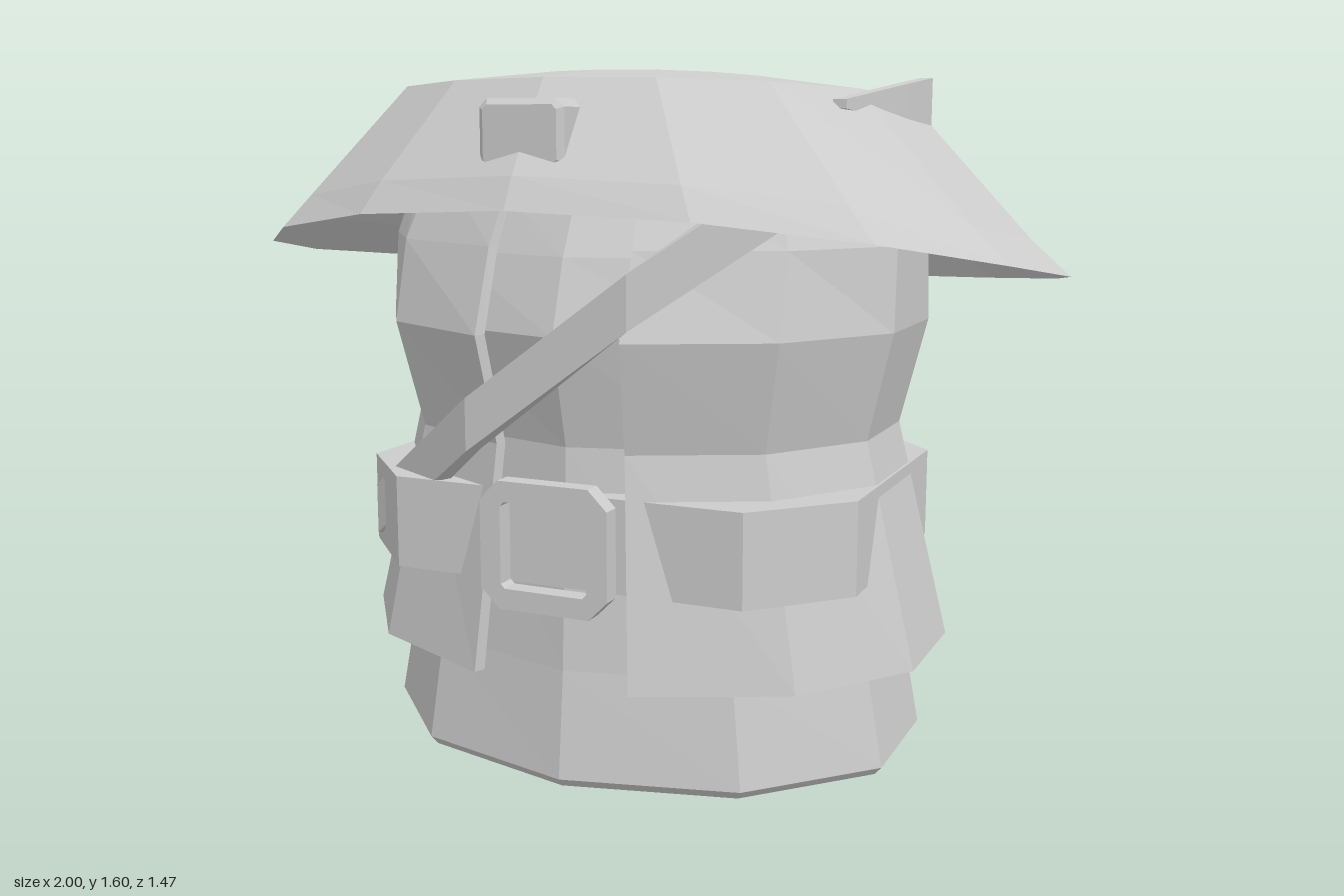
import * as THREE from 'three';

const grey = new THREE.MeshStandardMaterial({ color: 0xcccccc, side: THREE.DoubleSide });
grey.name = 'plain grey';

// Flat-faced surface through a list of cross-sections (arrays of Vector3)
function loft(sections, { closed = true, loopPath = false, capStart = false, capEnd = false } = {}) {
  const pos = [];
  const tri = (...pts) => pts.forEach(p => pos.push(p.x, p.y, p.z));
  const n = sections[0].length;
  const rows = loopPath ? sections.length : sections.length - 1;
  for (let k = 0; k < rows; k++) {
    const s = sections[k], t = sections[(k + 1) % sections.length];
    for (let i = 0; i < (closed ? n : n - 1); i++) {
      const j = (i + 1) % n;
      tri(s[i], t[i], t[j]);
      tri(s[i], t[j], s[j]);
    }
  }
  const cap = (s, flip) => {
    for (let i = 1; i < n - 1; i++) flip ? tri(s[0], s[i + 1], s[i]) : tri(s[0], s[i], s[i + 1]);
  };
  if (capStart) cap(sections[0], false);
  if (capEnd) cap(sections[sections.length - 1], true);
  const g = new THREE.BufferGeometry();
  g.setAttribute('position', new THREE.Float32BufferAttribute(pos, 3));
  g.computeVertexNormals();
  return g;
}

const v = (x, y, z) => new THREE.Vector3(x, y, z);

// Points on an ellipse; y may be a number or a rule of z
function ellipse(count, startDeg, rx, rz, y, stepDeg = 360 / count) {
  return Array.from({ length: count }, (_, i) => {
    const a = THREE.MathUtils.degToRad(startDeg + i * stepDeg);
    const z = Math.sin(a) * rz;
    return v(Math.cos(a) * rx, typeof y === 'function' ? y(z) : y, z);
  });
}

// Rectangle with cut corners
function chamfered(path, w, h, c) {
  [[-w + c, -h], [w - c, -h], [w, -h + c], [w, h - c], [w - c, h], [-w + c, h], [-w, h - c], [-w, -h + c]]
    .forEach(([x, y], i) => (i ? path.lineTo(x, y) : path.moveTo(x, y)));
  path.closePath();
  return path;
}

export function createModel() {
  const group = new THREE.Group();
  const add = (name, geometry) => {
    const m = new THREE.Mesh(geometry, grey);
    m.name = name;
    group.add(m);
    return m;
  };

  // Ten-sided body: y, x radius, z radius
  const body = [[0, 0.665, 0.51], [0.02, 0.683, 0.525], [0.27, 0.635, 0.5], [0.78, 0.565, 0.475],
    [1.03, 0.61, 0.535], [1.2, 0.6, 0.48], [1.4, 0.52, 0.38]];
  add('body', loft(body.map(([y, rx, rz]) => ellipse(10, 18, rx, rz, y)), { capStart: true, capEnd: true }));

  // Twelve-sided coat with the front facet left open
  const coat = [[0.26, 0.74, 0.585], [0.78, 0.61, 0.523], [1.03, 0.672, 0.585], [1.22, 0.67, 0.515], [1.41, 0.6, 0.42]];
  const shell = (y, rx, rz, k) => ellipse(12, 105, rx * k, rz * k, y, 30);
  add('coat', loft(coat.map(([y, rx, rz]) => [...shell(y, rx, rz, 1), ...shell(y, rx, rz, 0.95).reverse()])));
  add('coatHem', loft([shell(...coat[0], 0.95), shell(...coat[0], 1)], { closed: false }));

  // Eight-sided belt whose corners stand out from the coat
  const beltRing = (y, k) => [[0.62, 0.3], [0.43, 0.5], [-0.43, 0.5], [-0.62, 0.3],
    [-0.62, -0.3], [-0.43, -0.5], [0.43, -0.5], [0.62, -0.3]].map(([x, z]) => v(x * k, y, z * k));
  add('belt', loft([beltRing(0.465, 0.8), beltRing(0.465, 1), beltRing(0.68, 1), beltRing(0.68, 0.8)]));

  // Buckle frame
  const frame = chamfered(new THREE.Shape(), 0.155, 0.145, 0.045);
  frame.holes.push(chamfered(new THREE.Path(), 0.105, 0.098, 0.01));
  const buckle = add('buckle', new THREE.ExtrudeGeometry(frame, { depth: 0.045, bevelEnabled: false }));
  buckle.position.set(0, 0.573, 0.545);

  // Slanted shoulder strap around the whole body
  const half = [[-0.72, 0], [-0.58, 0.36], [-0.2, 0.57], [0.2, 0.585], [0.48, 0.46], [0.61, 0.2]];
  const strapPath = [...half, ...half.slice(1).reverse().map(([x, z]) => [x, -z])];
  add('shoulderStrap', loft(strapPath.map(([x, z]) => {
    const y = 0.975 + 0.72 * x, k = 0.93;
    return [v(x, y - 0.06, z), v(x, y + 0.06, z), v(x * k, y + 0.06, z * k), v(x * k, y - 0.06, z * k)];
  }), { loopPath: true }));

  // Tilted wide hat: rim rises toward the front
  const rise = base => z => base + 0.11 * z + (z > 0 ? 0.14 * z * z : 0);
  add('hat', loft([
    ellipse(16, 0, 1, 0.735, rise(1.155)),
    ellipse(16, 0, 0.91, 0.7, rise(1.235)),
    ellipse(16, 0, 0.62, 0.56, z => 1.545 + 0.062 * z),
    ellipse(16, 0, 0.33, 0.29, z => 1.585 + 0.066 * z),
    ellipse(16, 0, 0.001, 0.001, 1.577),
  ]));

  // Badge on the hat front
  const badge = add('hatBadge', new THREE.ExtrudeGeometry(chamfered(new THREE.Shape(), 0.085, 0.06, 0.01),
    { depth: 0.08, bevelThickness: 0.012, bevelSize: 0.013, bevelSegments: 1 }));
  badge.position.set(0, 1.462, 0.575);

  // Bent clip on the hat side: z, x, bottom y, top y
  const clip = [[0.3, 0.575, 1.515, 1.535], [0.1, 0.65, 1.485, 1.57], [0, 0.68, 1.48, 1.585],
    [-0.1, 0.65, 1.475, 1.565], [-0.27, 0.585, 1.475, 1.525], [-0.32, 0.56, 1.49, 1.51]];
  add('hatClip', loft(clip.map(([z, x, lo, hi]) =>
    [v(x, lo, z), v(x, hi, z), v(x - 0.03, hi, z), v(x - 0.03, lo, z)]), { capStart: true, capEnd: true }));

  return group;
}
